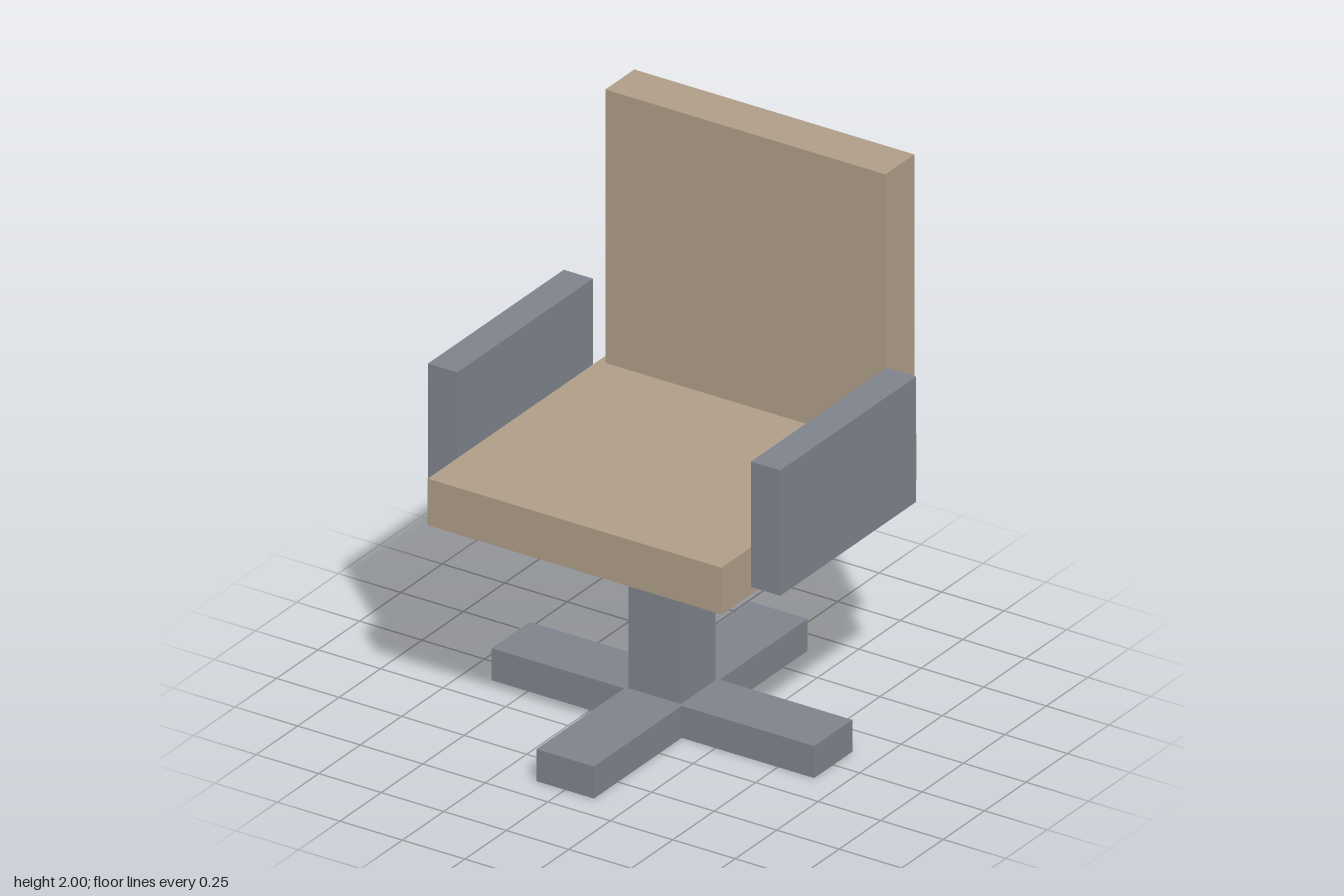
import * as THREE from 'three';

export function createModel() {
  const model = new THREE.Group();
  model.name = 'swivelChair';
  const tan = new THREE.MeshStandardMaterial({ color: 0xb09e88 });
  const slate = new THREE.MeshStandardMaterial({ color: 0x7f838c });

  // Box given by its size and the centre of its underside
  const block = (name, material, [w, h, d], [x, y, z]) => {
    const mesh = new THREE.Mesh(new THREE.BoxGeometry(w, h, d), material);
    mesh.name = name;
    mesh.position.set(x, y + h / 2, z);
    model.add(mesh);
  };

  // Cross-shaped foot, one outline of four arms
  const reach = 0.645, half = 0.115;
  const outline = [];
  for (let i = 0; i < 4; i++) {
    for (const [x, y] of [[half, -half], [reach, -half], [reach, half]]) {
      outline.push(new THREE.Vector2(x, y).rotateAround(new THREE.Vector2(), i * Math.PI / 2));
    }
  }
  const crossGeometry = new THREE.ExtrudeGeometry(new THREE.Shape(outline), { depth: 0.12, bevelEnabled: false });
  crossGeometry.rotateX(-Math.PI / 2);
  const foot = new THREE.Mesh(crossGeometry, slate);
  foot.name = 'crossFoot';
  model.add(foot);

  // Column, seat and backrest
  block('column', slate, [0.21, 0.68, 0.21], [0, 0.12, 0]);
  block('seat', tan, [1.175, 0.175, 1.175], [0, 0.8, 0]);
  block('backrest', tan, [1.12, 1.025, 0.175], [0, 0.975, -0.53]);

  // Armrests, flush with the sides of the seat
  for (const [name, side] of [['leftArmrest', 1], ['rightArmrest', -1]]) {
    block(name, slate, [0.117, 0.47, 0.82], [side * 0.646, 0.827, 0]);
  }
  return model;
}
